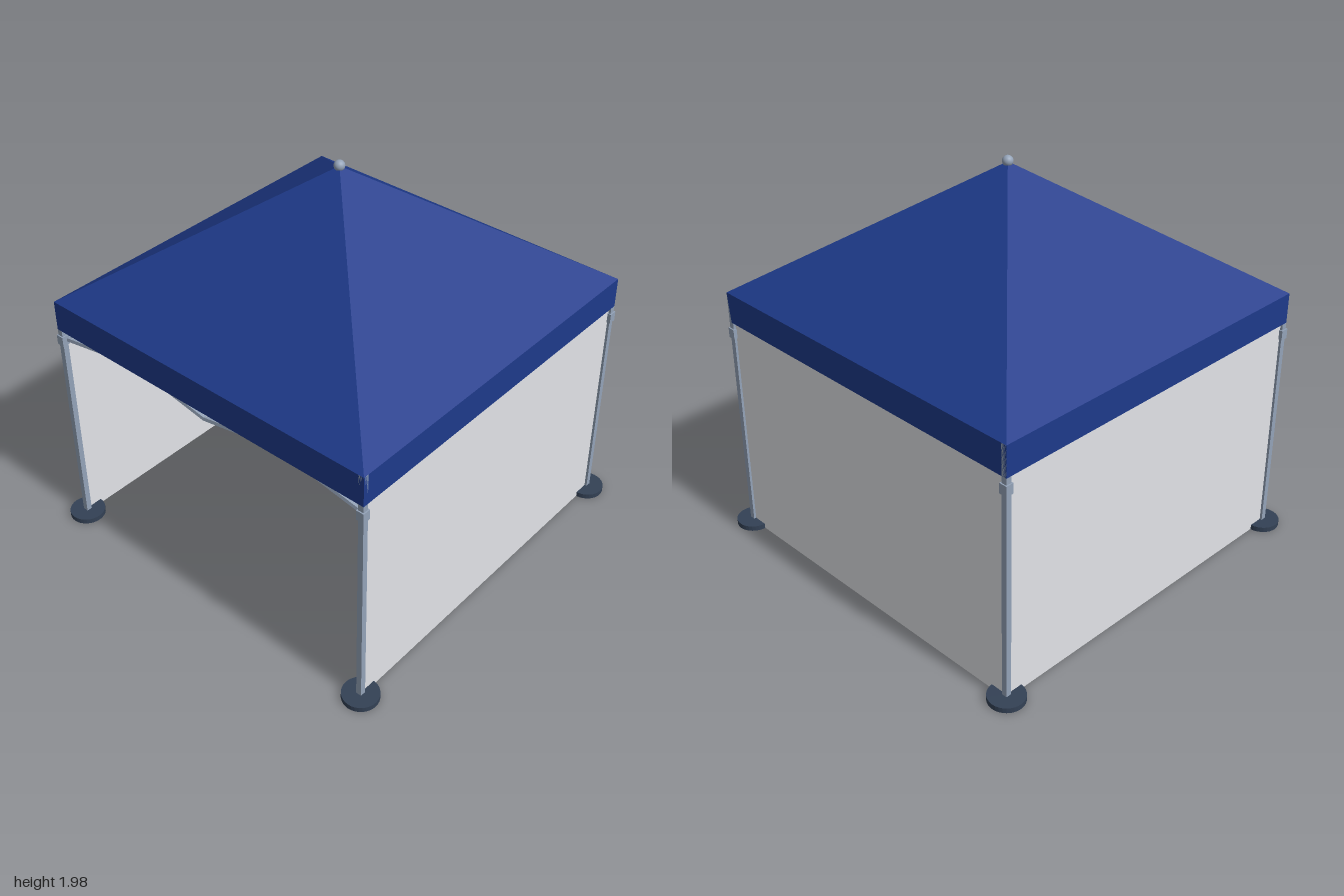
import * as THREE from 'three';

const mat = (name, color, double) => {
  const m = new THREE.MeshStandardMaterial({ color });
  m.name = name;
  if (double) m.side = THREE.DoubleSide;
  return m;
};

export function createModel() {
  const model = new THREE.Group();
  model.name = 'canopyTent';
  const blue = mat('blue canvas', 0x1e3a8a, true);
  const wallCloth = mat('pale wall cloth', 0xe5e7eb, true);
  const steel = mat('grey steel', 0x94a3b8);
  const dark = mat('dark weight', 0x334155);

  const add = (name, geo, material, parent = model, x = 0, y = 0, z = 0) => {
    const mesh = new THREE.Mesh(geo, material);
    mesh.name = name;
    mesh.position.set(x, y, z);
    parent.add(mesh);
    return mesh;
  };
  // Square bar between two points of its parent
  const bar = (name, a, b, t, parent) => {
    const p = new THREE.Vector3(...a), q = new THREE.Vector3(...b);
    const mesh = add(name, new THREE.BoxGeometry(t, t, p.distanceTo(q)), steel, parent);
    mesh.position.copy(p).add(q).multiplyScalar(0.5);
    mesh.quaternion.setFromUnitVectors(new THREE.Vector3(0, 0, 1), q.sub(p).normalize());
  };

  const R = 0.926, L = 0.912, EAVE = 1.3, HEM = 1.147, PEAK = 1.95;

  // Four identical sides of the canopy and its scissor frame
  for (let i = 0; i < 4; i++) {
    const side = new THREE.Group();
    side.name = 'canopySide';
    side.rotation.y = i * Math.PI / 2;
    model.add(side);

    const slope = new THREE.BufferGeometry();
    slope.setAttribute('position', new THREE.Float32BufferAttribute(
      [-R, EAVE, R, R, EAVE, R, 0, PEAK, 0], 3));
    slope.computeVertexNormals();
    add('roofPanel', slope, blue, side);
    add('valance', new THREE.PlaneGeometry(2 * R, EAVE - HEM), blue, side, 0, (EAVE + HEM) / 2, R);

    // Crossing truss bars, mirrored about the middle
    for (const s of [-1, 1]) {
      bar('trussBarLow', [s * 0.9, 1.09, 0.9], [0, 1.25, 0.9], 0.016, side);
      bar('trussBarHigh', [0, 1.085, 0.892], [s * 0.9, 1.25, 0.892], 0.016, side);
    }
    // Hip rafter under the roof seam
    bar('rafter', [0.9, 1.28, 0.9], [0, 1.91, 0], 0.016, side);

    // Cloth wall on every side but the front
    if (i > 0) {
      add('wall', new THREE.PlaneGeometry(1.805, 1.27), wallCloth, side, 0, 0.637, 0.914);
    }
  }

  // Round foot weight, slightly hollowed underneath
  const footProfile = [[0, 0.008], [0.05, 0.008], [0.05, 0], [0.088, 0], [0.088, 0.026], [0, 0.026]]
    .map(([r, y]) => new THREE.Vector2(r, y));
  const foot = new THREE.LatheGeometry(footProfile, 32).toNonIndexed();
  foot.computeVertexNormals();

  // Legs with sliding sleeves
  for (const x of [-L, L]) for (const z of [-L, L]) {
    const leg = new THREE.Group();
    leg.name = 'leg';
    leg.position.set(x, 0, z);
    model.add(leg);
    add('pole', new THREE.BoxGeometry(0.028, 1.282, 0.028), steel, leg, 0, 0.659, 0);
    add('sleeve', new THREE.BoxGeometry(0.04, 0.05, 0.04), steel, leg, 0, 1.09, 0);
    add('footWeight', foot, dark, leg);
  }

  // Centre mast and ball finial
  add('mast', new THREE.CylinderGeometry(0.014, 0.014, 0.82, 12), steel, model, 0, 1.53, 0);
  add('finial', new THREE.SphereGeometry(0.026, 20, 14), steel, model, 0, 1.953, 0);
  return model;
}
